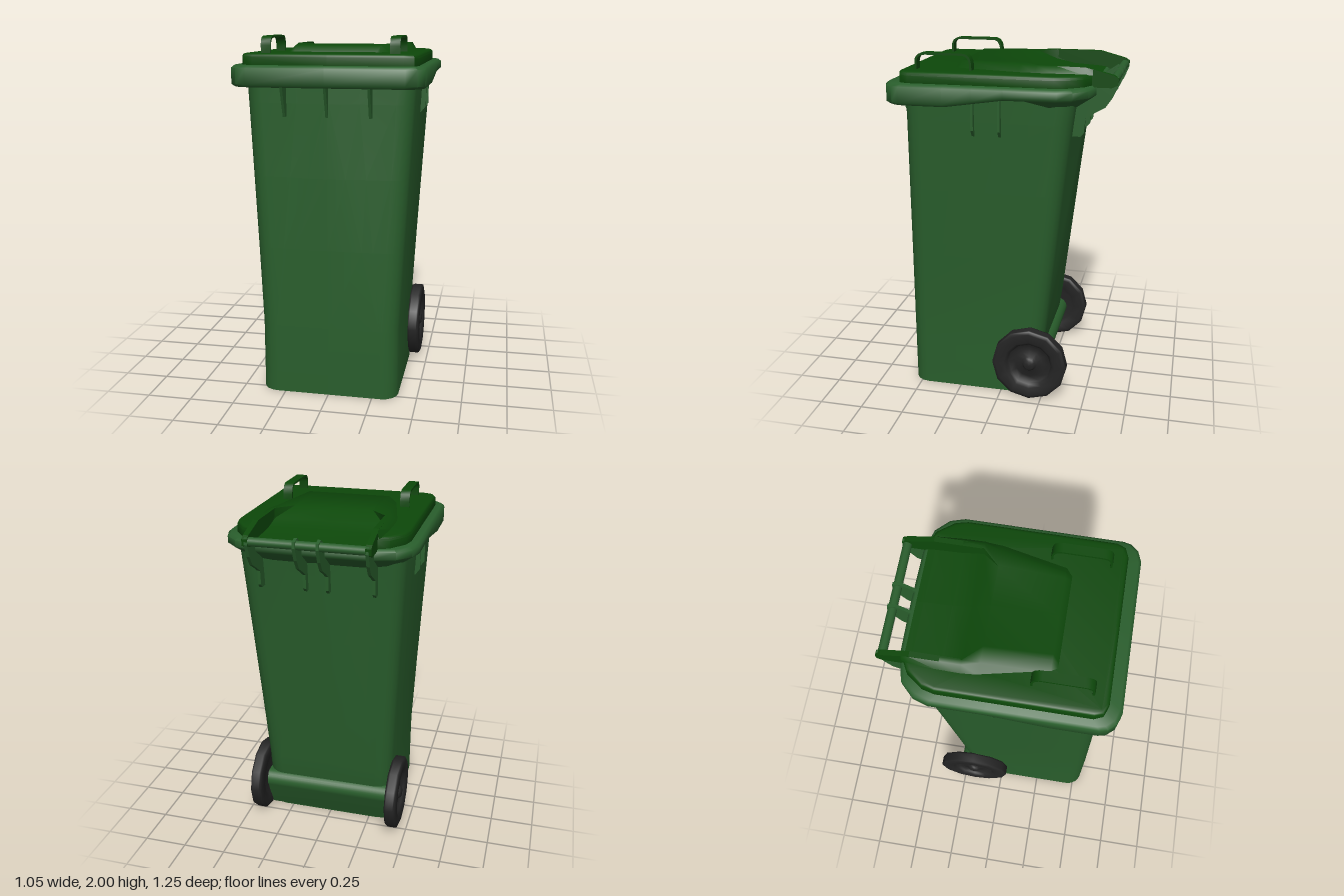
import * as THREE from 'three';
import { toCreasedNormals } from 'three/addons/utils/BufferGeometryUtils.js';

const mat = (color) => new THREE.MeshStandardMaterial({ color, side: THREE.DoubleSide });
const bodyMat = mat(0x295e2c), lidMat = mat(0x0d480a), wheelMat = mat(0x242424);
const { lerp, clamp, mapLinear: ramp } = THREE.MathUtils;

// Surface through a series of point rows; closed rows wrap around.
function loft(rows, closed = true, crease = 0.6) {
  const n = rows[0].length, index = [];
  for (let r = 0; r < rows.length - 1; r++) {
    for (let i = 0; i < (closed ? n : n - 1); i++) {
      const j = (i + 1) % n;
      const a = r * n + i, b = r * n + j;
      index.push(a, b, b + n, a, b + n, a + n);
    }
  }
  const geo = new THREE.BufferGeometry();
  geo.setAttribute('position', new THREE.Float32BufferAttribute(rows.flat(2), 3));
  geo.setIndex(index);
  return toCreasedNormals(geo, crease);
}

// Completes a half outline of [x, z] points, front centre to back centre.
const mirrorHalf = (half) => [...half, ...half.slice(1, -1).reverse().map(([x, z]) => [-x, z])];

const shapeOf = (pts) => new THREE.Shape(pts.map(([x, y]) => new THREE.Vector2(x, y)));

// Upright plate cut from a [z, y] profile, t thick along x.
function plate(shape, t) {
  const geo = new THREE.ExtrudeGeometry(shape, { depth: t, bevelEnabled: false, curveSegments: 5 });
  return geo.translate(0, 0, -t / 2).rotateY(-Math.PI / 2);
}

// Tub cross-section at height y: rounded corners and a triangular centre panel.
function tubRow(y, zBack) {
  const hx = y < 0.44 ? 0.39 : ramp(y, 0.44, 1.7, 0.39, 0.457);
  const k = clamp(ramp(y, 0.4, 1.65, 0, 1), 0, 1);
  const w = lerp(0.29, 0.012, k), r = 0.09, drop = 0.025 * k;
  const front = 0.55, shoulder = lerp(w, hx - r, 0.45);
  const half = [[0, front], [w, front], [shoulder, front - drop]];
  for (let i = 0; i <= 4; i++) {
    const a = (i / 4) * Math.PI / 2;
    half.push([hx - r + r * Math.sin(a), front - drop - r + r * Math.cos(a)]);
  }
  for (let i = 0; i <= 4; i++) {
    const a = (i / 4) * Math.PI / 2;
    half.push([hx - r + r * Math.cos(a), zBack + drop + r - r * Math.sin(a)]);
  }
  half.push([shoulder, zBack + drop], [w, zBack], [0, zBack]);
  return mirrorHalf(half).map(([x, z]) => [x, y, z]);
}

export function createModel() {
  const root = new THREE.Group();
  const add = (name, geo, material, x = 0, y = 0, z = 0) => {
    const m = new THREE.Mesh(geo, material);
    m.name = name;
    m.position.set(x, y, z);
    root.add(m);
    return m;
  };

  // Tapered tub
  const levels = [[0, -0.175], [0.12, -0.2], [0.26, -0.235], [0.4, -0.255], [0.85, -0.314],
    [1.25, -0.366], [1.65, -0.42], [1.8, -0.44]];
  const rows = levels.map(([y, z]) => tubRow(y, z));
  add('tub', loft(rows), bodyMat);

  // Recessed floor
  const floor = new THREE.ShapeGeometry(shapeOf(rows[1].map(([x, , z]) => [x, -z])));
  add('floor', floor.rotateX(-Math.PI / 2), bodyMat, 0, 0.12, 0);

  // Rim, thinner towards the back, with a skirt flaring from the tub at the rear
  const rimPlan = mirrorHalf([[0, 0.622], [0.42, 0.622], [0.48, 0.6], [0.515, 0.56], [0.525, 0.52], [0.525, 0.28],
    [0.525, 0.12], [0.525, -0.05], [0.525, -0.33], [0.5, -0.41], [0.43, -0.48], [0.3, -0.515], [0, -0.52]]);
  const under = (z) => clamp(ramp(z, 0.28, -0.05, 1.737, 1.785), 1.737, 1.785);
  const skirt = (z) => under(z) - clamp(ramp(z, 0, -0.35, 0, 0.06), 0, 0.06);
  const rimRow = (inset, yAt) => rimPlan.map(([x, z]) => {
    const s = 1 - inset / 0.525;
    return [x * s, yAt(z), 0.05 + (z - 0.05) * s];
  });
  add('rim', loft([
    rimRow(0.09, skirt), rimRow(0.015, under), rimRow(0, (z) => under(z) + 0.014),
    rimRow(0, () => 1.836), rimRow(0.015, () => 1.85), rimRow(0.5, () => 1.85),
  ], true, 1), bodyMat);

  // Ribs below the rim
  const frontRib = shapeOf([[0.46, 1.58], [0.55, 1.58], [0.612, 1.75], [0.46, 1.75]]);
  for (const x of [-0.232, 0, 0.232]) add('frontRib', plate(frontRib, 0.014), bodyMat, x);
  for (const s of [-1, 1]) {
    const sideRib = shapeOf([[0.42, 1.57], [0.455, 1.575], [0.48, 1.61], [0.482, 1.8], [0.42, 1.8]]
      .map(([x, y]) => [x * s, y]));
    for (const z of [0.13, -0.017]) {
      const geo = new THREE.ExtrudeGeometry(sideRib, { depth: 0.014, bevelEnabled: false });
      add('sideRib', geo, bodyMat, 0, 0, z - 0.007);
    }
  }

  // Hinge brackets and grab bar
  const bracket = shapeOf([[-0.37, 1.57], [-0.43, 1.57], [-0.448, 1.59], [-0.455, 1.67], [-0.5, 1.7],
    [-0.56, 1.735], [-0.597, 1.79], [-0.625, 1.86], [-0.622, 1.895], [-0.58, 1.905], [-0.5, 1.85], [-0.37, 1.82]]);
  for (const x of [-0.315, -0.062, 0.062, 0.315]) add('hingeBracket', plate(bracket, 0.017), bodyMat, x);
  add('grabBar', new THREE.CylinderGeometry(0.024, 0.024, 0.64, 12).rotateZ(Math.PI / 2), bodyMat, 0, 1.872, -0.597);

  // Lid slab with a notch at the back
  const lidPlan = mirrorHalf([[0, 0.53], [0.4, 0.53], [0.44, 0.515], [0.455, 0.48], [0.455, -0.3],
    [0.44, -0.36], [0.38, -0.44], [0.34, -0.465], [0.34, -0.15], [0, -0.15]]);
  const lid = new THREE.ExtrudeGeometry(shapeOf(lidPlan.map(([x, z]) => [x, -z])),
    { depth: 0.05, bevelSize: 0.02, bevelThickness: 0.02, bevelSegments: 3 });
  add('lid', toCreasedNormals(lid.rotateX(-Math.PI / 2), 0.7), lidMat, 0, 1.84, 0);

  // Raised lid deck falling into the rear recess: z, base x, edge x, inner x, edge y, floor y
  const deck = [
    [0.28, 0.27, 0.24, 0.22, 1.908, 1.908],
    [0.245, 0.29, 0.24, 0.21, 1.945, 1.945],
    [-0.1, 0.365, 0.31, 0.225, 1.945, 1.944],
    [-0.19, 0.372, 0.336, 0.31, 1.945, 1.892],
    [-0.3, 0.37, 0.336, 0.312, 1.945, 1.868],
    [-0.45, 0.36, 0.336, 0.315, 1.943, 1.858],
    [-0.49, 0.345, 0.336, 0.315, 1.933, 1.853],
  ].map(([z, bx, ex, ix, ey, fy]) => {
    const half = [[bx, 1.905], [ex, ey], [ix, ey], [ix - 0.005, fy]];
    return [...half.map(([x, y]) => [-x, y, z]), [0, fy, z],
      ...half.reverse().map(([x, y]) => [x, y, z])];
  });
  add('lidDeck', loft(deck, false, 0.9), lidMat);

  // Lid hinge arms
  const arm = shapeOf([[-0.2, 1.945], [-0.45, 1.945], [-0.6, 1.905], [-0.625, 1.89], [-0.622, 1.855],
    [-0.59, 1.84], [-0.5, 1.84], [-0.2, 1.86]]);
  // Arched lid handle
  const arch = new THREE.Shape();
  arch.moveTo(0.472, 1.9);
  arch.lineTo(0.472, 1.95);
  arch.quadraticCurveTo(0.47, 2, 0.41, 2);
  arch.lineTo(0.21, 2);
  arch.quadraticCurveTo(0.16, 2, 0.155, 1.94);
  arch.lineTo(0.155, 1.9);
  arch.lineTo(0.167, 1.9);
  arch.lineTo(0.167, 1.94);
  arch.quadraticCurveTo(0.172, 1.988, 0.21, 1.988);
  arch.lineTo(0.41, 1.988);
  arch.quadraticCurveTo(0.458, 1.988, 0.46, 1.95);
  arch.lineTo(0.46, 1.9);
  // Wheel profile, inner face to hub: disc, tyre, dish, hub
  const wheelProfile = [[0, -0.015], [0.125, -0.015], [0.14, -0.034], [0.2, -0.036], [0.218, -0.03], [0.22, -0.02],
    [0.22, 0.02], [0.218, 0.03], [0.2, 0.036], [0.15, 0.035], [0.132, 0.02], [0.125, 0.004], [0.09, 0],
    [0.08, 0.008], [0.045, 0.01], [0.036, 0.024], [0.025, 0.034], [0, 0.035]].map(([r, y]) => new THREE.Vector2(r, y));
  for (const s of [-1, 1]) {
    add('hingeArm', plate(arm, 0.03), lidMat, s * 0.321);
    add('lidHandle', toCreasedNormals(plate(arch, 0.054), 0.6), lidMat, s * 0.348);
    const wheel = new THREE.LatheGeometry(wheelProfile, 12).rotateZ(-s * Math.PI / 2);
    add('wheel', wheel, wheelMat, s * 0.42, 0.22, -0.18);
  }

  // Rounded axle housing running down to the bottom edge, and axle
  const housing = new THREE.Shape();
  housing.moveTo(-0.16, 0.005);
  housing.lineTo(-0.176, 0.005);
  housing.lineTo(-0.262, 0.19);
  housing.absarc(-0.21, 0.215, 0.06, Math.PI * 1.15, Math.PI * 0.5, true);
  housing.lineTo(-0.16, 0.275);
  add('axleHousing', toCreasedNormals(plate(housing, 0.772), 0.7), bodyMat);
  add('axle', new THREE.CylinderGeometry(0.025, 0.025, 0.84, 10).rotateZ(Math.PI / 2), wheelMat, 0, 0.22, -0.18);
  return root;
}
